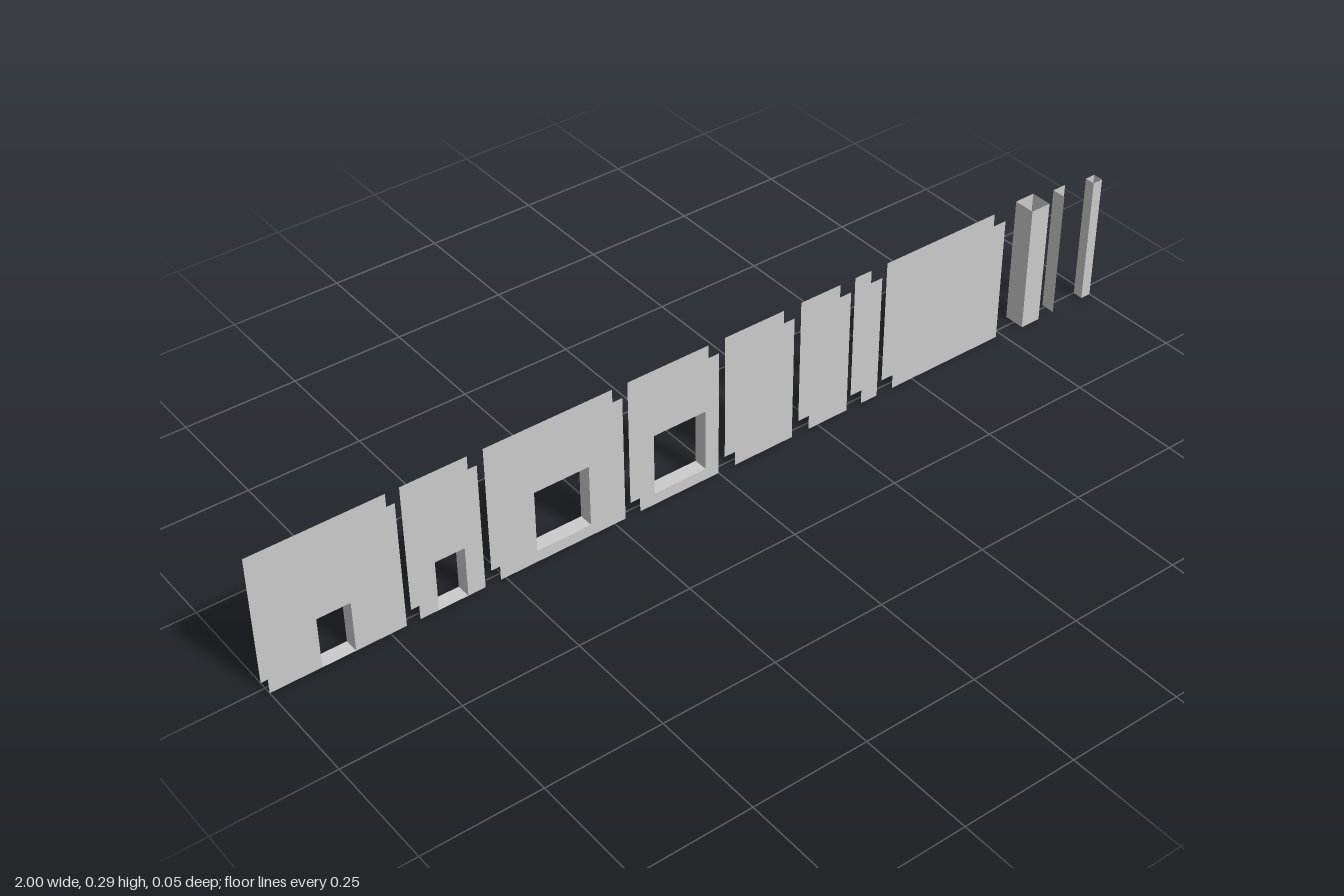
import * as THREE from 'three';

const HEIGHT = 0.289;
const HALF_GAP = 0.016; // half the distance between the two skins of a wall

const material = new THREE.MeshStandardMaterial({
  color: 0xcccccc, flatShading: true, side: THREE.DoubleSide,
});

function mesh(name, geometry) {
  const m = new THREE.Mesh(geometry, material);
  m.name = name;
  return m;
}

// Upright sheet between two plan points [x, z]
function uprightSheet(name, [xa, za], [xb, zb], y0 = 0, y1 = HEIGHT) {
  const m = mesh(name, new THREE.PlaneGeometry(Math.hypot(xb - xa, zb - za), y1 - y0));
  m.position.set((xa + xb) / 2, (y0 + y1) / 2, (za + zb) / 2);
  m.rotation.y = Math.atan2(za - zb, xb - xa);
  return m;
}

// Horizontal sheet spanning the gap between the skins
function levelSheet(name, x0, x1, y, up) {
  const m = mesh(name, new THREE.PlaneGeometry(x1 - x0, 2 * HALF_GAP));
  m.position.set((x0 + x1) / 2, y, 0);
  m.rotation.x = up ? -Math.PI / 2 : Math.PI / 2;
  return m;
}

// Wall outline, with a notch for a door or a hole for a window
function wallShape(x0, x1, opening) {
  const points = [[x0, 0]];
  const corners = opening && [
    [opening.x0, opening.y0], [opening.x0, opening.y1],
    [opening.x1, opening.y1], [opening.x1, opening.y0],
  ];
  if (opening && opening.y0 === 0) points.push(...corners);
  points.push([x1, 0], [x1, HEIGHT], [x0, HEIGHT]);
  const toVectors = (list) => list.map(([x, y]) => new THREE.Vector2(x, y));
  const shape = new THREE.Shape(toVectors(points));
  if (opening && opening.y0 > 0) shape.holes.push(new THREE.Path(toVectors(corners)));
  return shape;
}

// Two parallel skins, open round the rim, with a lined opening
function wall(name, x0, x1, opening) {
  const group = new THREE.Group();
  group.name = name;
  const geometry = new THREE.ShapeGeometry(wallShape(x0, x1, opening));
  const front = mesh('frontSkin', geometry);
  front.position.z = HALF_GAP;

  // The back skin is the mirrored outline turned round to face -z
  const mirrored = opening && { ...opening, x0: -opening.x1, x1: -opening.x0 };
  const back = mesh('backSkin', new THREE.ShapeGeometry(wallShape(-x1, -x0, mirrored)));
  back.rotation.y = Math.PI;
  back.position.z = -HALF_GAP;
  group.add(front, back);

  if (opening) {
    const { x0: a, x1: b, y0, y1 } = opening;
    group.add(
      uprightSheet('rightJamb', [a, HALF_GAP], [a, -HALF_GAP], y0, y1),
      uprightSheet('leftJamb', [b, -HALF_GAP], [b, HALF_GAP], y0, y1),
      levelSheet('sill', a, b, y0, true),
      levelSheet('lintel', a, b, y1, false),
    );
  }
  return group;
}

// Hollow square post, open at top and bottom
function post(name, x0, x1, z0, z1) {
  const group = new THREE.Group();
  group.name = name;
  const plan = [[x0, z1], [x1, z1], [x1, z0], [x0, z0]];
  const sides = ['front', 'left', 'back', 'right'];
  plan.forEach((p, i) => group.add(uprightSheet(sides[i] + 'Face', p, plan[(i + 1) % 4])));
  return group;
}

export function createModel() {
  const model = new THREE.Group();
  model.name = 'wallKit';

  // Walls with doors and windows
  model.add(
    wall('wideDoorWall', -1, -0.716, { x0: -0.893, x1: -0.823, y0: 0, y1: 0.115 }),
    wall('narrowDoorWall', -0.687, -0.545, { x0: -0.647, x1: -0.583, y0: 0, y1: 0.115 }),
    wall('wideWindowWall', -0.511, -0.225, { x0: -0.428, x1: -0.305, y0: 0.026, y1: 0.166 }),
    wall('narrowWindowWall', -0.19, 0, { x0: -0.155, x1: -0.032, y0: 0.026, y1: 0.166 }),
  );

  // Plain walls
  model.add(
    wall('mediumWall', 0.04, 0.184),
    wall('smallWall', 0.227, 0.326),
    wall('fillerWall', 0.364, 0.406),
    wall('wideWall', 0.447, 0.735),
  );

  // Posts and the L-shaped inner corner
  const corner = new THREE.Group();
  corner.name = 'innerCorner';
  corner.add(
    uprightSheet('cornerSide', [0.892, 0.024], [0.892, -0.008]),
    uprightSheet('cornerBack', [0.892, -0.008], [0.925, -0.008]),
  );
  model.add(
    post('largePost', 0.802, 0.85, -0.024, 0.024),
    corner,
    post('smallPost', 0.976, 1, 0.001, 0.024),
  );
  return model;
}
